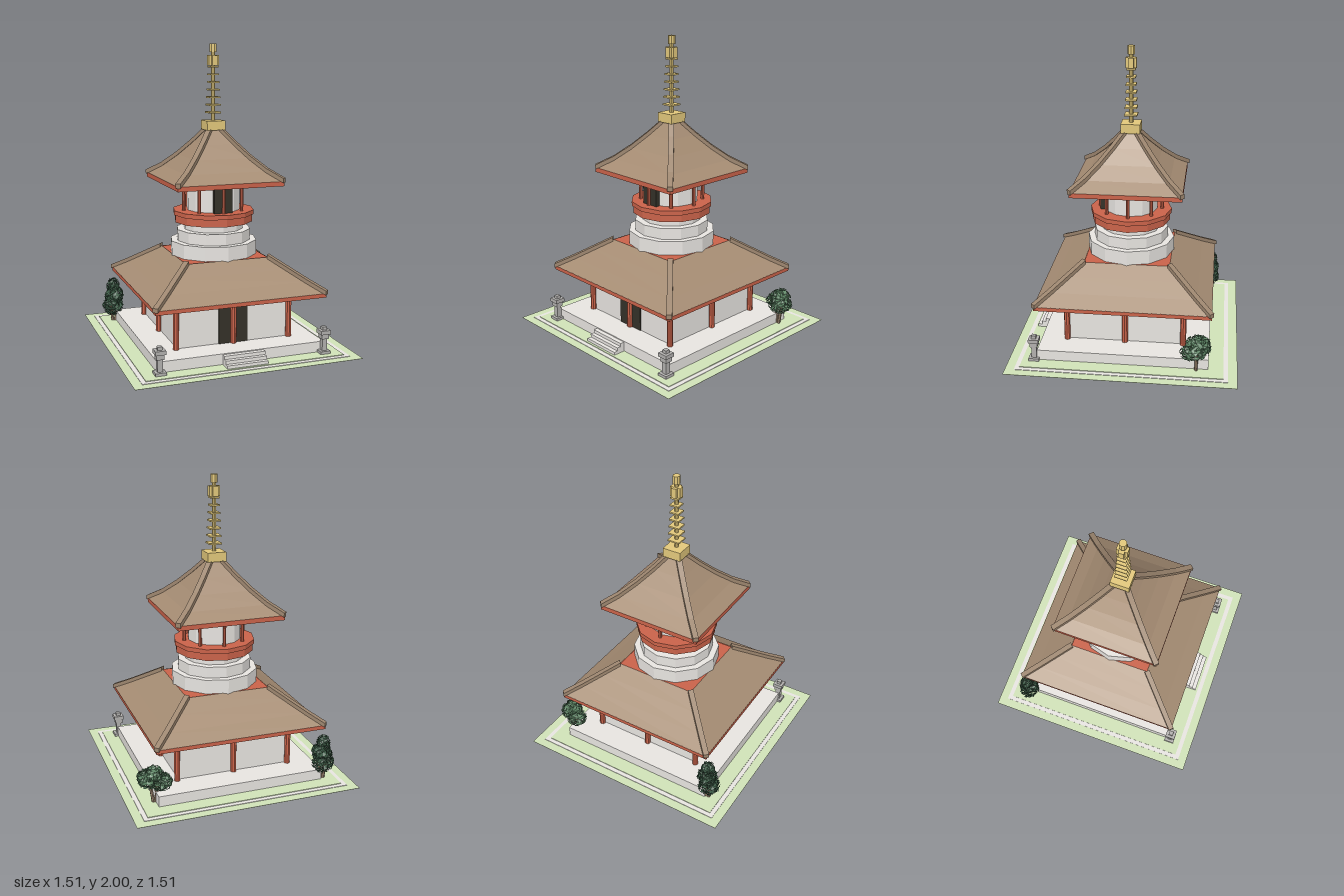
import * as THREE from 'three';

const flat = (name, color) => new THREE.MeshStandardMaterial({ name, color });

export function createModel() {
  const model = new THREE.Group();
  model.name = 'pagoda';

  const grass = flat('grass', 0xd0e2b8);
  const plaster = flat('pale stone', 0xebe8e4);
  const red = flat('red timber', 0xca634a);
  const roofTile = flat('roof brown', 0xa58c73);
  const ridgeTile = flat('ridge brown', 0x9d866f);
  const dark = flat('dark door', 0x343128);
  const gold = flat('gold', 0xe2c87b);
  const lanternStone = flat('lantern stone', 0xb2b0ae);
  const leafDark = flat('dark leaf', 0x40604a);
  const leafMid = flat('mid leaf', 0x5b8262);
  for (const open of [roofTile, leafDark, leafMid]) open.side = THREE.DoubleSide;

  const add = (name, geo, mat, x = 0, y = 0, z = 0, parent = model) => {
    const mesh = new THREE.Mesh(geo, mat);
    mesh.name = name;
    mesh.position.set(x, y, z);
    parent.add(mesh);
    return mesh;
  };
  // box given by its bottom and top heights
  const box = (name, mat, w, d, y0, y1, x = 0, z = 0, parent = model) =>
    add(name, new THREE.BoxGeometry(w, y1 - y0, d), mat, x, (y0 + y1) / 2, z, parent);
  // faceted cylinder given by its bottom and top heights
  const drum = (name, mat, r, y0, y1, x = 0, z = 0, sides = 12, parent = model) => {
    const geo = new THREE.CylinderGeometry(r, r, y1 - y0, sides).toNonIndexed();
    geo.computeVertexNormals();
    return add(name, geo, mat, x, (y0 + y1) / 2, z, parent);
  };

  // Ground with a stone border
  box('lawn', grass, 1.506, 1.506, 0.001, 0.003);
  box('stoneBorder', plaster, 1.386, 1.386, 0, 0.006);
  box('innerLawn', grass, 1.326, 1.326, 0.002, 0.01);

  // Platform and front steps
  box('platform', plaster, 1.128, 1.128, 0.005, 0.08);
  for (let i = 0; i < 3; i++) {
    const front = 0.648 - i * 0.027;
    box('step', plaster, 0.276, front - 0.54, 0.005, 0.03 + i * 0.022, 0, (front + 0.54) / 2);
  }

  // Lower hall
  box('lowerWalls', plaster, 0.76, 0.76, 0.08, 0.385);
  box('lowerDoor', dark, 0.2, 0.008, 0.08, 0.325, 0, 0.383);
  for (let i = -1; i <= 1; i++) {
    for (let j = -1; j <= 1; j++) {
      if (i || j) drum('lowerColumn', red, 0.02, 0.08, 0.39, i * 0.39, j * 0.39, 8);
    }
  }

  // Four-sided curved roof with hip ridges; profile is [half width, height]
  const hipRoof = (name, profile, rise) => {
    const roof = new THREE.Group();
    roof.name = name;
    model.add(roof);
    const pts = profile.map(([r, y]) => new THREE.Vector2(r * Math.SQRT2, y));
    const geo = new THREE.LatheGeometry(pts, 4).toNonIndexed();
    geo.rotateY(Math.PI / 4);
    geo.computeVertexNormals();
    add('roofSlopes', geo, roofTile, 0, 0, 0, roof);

    const outline = [
      ...pts.map((p) => new THREE.Vector2(p.x, p.y - 0.008)),
      ...pts.map((p) => new THREE.Vector2(p.x, p.y + rise)).reverse(),
    ];
    const ridge = new THREE.ExtrudeGeometry(new THREE.Shape(outline), { depth: 0.036, bevelEnabled: false });
    ridge.translate(0, 0, -0.018);
    for (let k = 0; k < 4; k++) {
      add('hipRidge', ridge, ridgeTile, 0, 0, 0, roof).rotation.y = Math.PI / 4 + k * Math.PI / 2;
    }
  };

  // Lower roof
  box('lowerEaves', red, 1.15, 1.15, 0.377, 0.404);
  hipRoof('lowerRoof', [[0.576, 0.403], [0.48, 0.465], [0.38, 0.535], [0.285, 0.602]], 0.02);
  box('lowerRoofDeck', red, 0.57, 0.57, 0.585, 0.6);

  // Stepped white drums
  drum('lowerDrum', plaster, 0.295, 0.595, 0.695);
  drum('middleDrum', plaster, 0.252, 0.695, 0.77);
  drum('upperDrum', plaster, 0.202, 0.77, 0.83);

  // Balcony
  drum('balconyBase', red, 0.266, 0.82, 0.87);
  drum('balconyRim', red, 0.276, 0.87, 0.9);

  // Upper chamber
  drum('upperWalls', plaster, 0.18, 0.9, 1.1);
  box('upperDoor', dark, 0.124, 0.03, 0.9, 1.07, 0, 0.187);
  for (let k = 0; k < 8; k++) {
    const a = k * Math.PI / 4;
    drum('upperColumn', red, 0.012, 0.9, 1.1, 0.21 * Math.sin(a), 0.21 * Math.cos(a), 8);
  }

  // Upper roof
  box('upperEaves', red, 0.724, 0.724, 1.086, 1.117);
  hipRoof('upperRoof',
    [[0.362, 1.116], [0.275, 1.176], [0.19, 1.256], [0.11, 1.346], [0.035, 1.44]], 0.022);

  // Golden spire with square rings
  const spire = new THREE.Group();
  spire.name = 'spire';
  model.add(spire);
  box('spireBase', gold, 0.128, 0.128, 1.435, 1.497, 0, 0, spire);
  drum('spirePole', gold, 0.014, 1.49, 1.96, 0, 0, 8, spire);
  for (let i = 0; i < 7; i++) {
    const y = 1.55 + i * 0.05;
    const w = 0.084 - i * 0.0045;
    box('spireRing', gold, w, w, y - 0.005, y + 0.005, 0, 0, spire);
  }
  box('spireFin', gold, 0.072, 0.036, 1.858, 1.925, 0, 0, spire);
  box('spireFin', gold, 0.036, 0.072, 1.859, 1.924, 0, 0, spire);
  drum('spireTip', gold, 0.024, 1.945, 2.0, 0, 0, 8, spire);

  // Stone lanterns at the front corners
  for (const side of [-1, 1]) {
    const lantern = new THREE.Group();
    lantern.name = 'lantern';
    lantern.position.set(side * 0.555, 0, 0.583);
    model.add(lantern);
    box('lanternBase', lanternStone, 0.07, 0.07, 0.005, 0.028, 0, 0, lantern);
    box('lanternPost', lanternStone, 0.034, 0.034, 0.028, 0.11, 0, 0, lantern);
    box('lanternBox', lanternStone, 0.05, 0.05, 0.108, 0.14, 0, 0, lantern);
    box('lanternCap', lanternStone, 0.068, 0.068, 0.14, 0.166, 0, 0, lantern);
    box('lanternFinial', lanternStone, 0.03, 0.03, 0.166, 0.187, 0, 0, lantern);
  }

  // Ragged foliage clump: every leaf facet's corners are pushed in or out on their own
  const clump = (rx, ry, rz, seed) => {
    const geo = new THREE.IcosahedronGeometry(1, 2);
    const p = geo.attributes.position;
    for (let i = 0; i < p.count; i++) {
      const h = Math.sin(i * 12.99 + seed) * 437.58;
      const s = 0.74 + 0.34 * (h - Math.floor(h));
      p.setXYZ(i, p.getX(i) * rx * s, p.getY(i) * ry * s, p.getZ(i) * rz * s);
    }
    geo.computeVertexNormals();
    return geo;
  };
  const tree = (name, x, z, leaf, trunkTop, clumps) => {
    const group = new THREE.Group();
    group.name = name;
    group.position.set(x, 0, z);
    model.add(group);
    for (const lean of [-0.12, 0.15]) {
      drum('trunk', ridgeTile, 0.011, 0, trunkTop, lean * 0.12, 0, 6, group).rotation.z = -lean;
    }
    clumps.forEach(([cx, cy, cz, rx, ry, rz], i) =>
      add('foliage', clump(rx, ry, rz, i * 2.7), leaf, cx, cy, cz, group));
  };
  tree('tallTree', -0.578, -0.545, leafDark, 0.12, [
    [-0.005, 0.125, 0, 0.075, 0.075, 0.072],
    [0.005, 0.195, 0, 0.068, 0.075, 0.068],
    [0.0, 0.265, -0.005, 0.048, 0.06, 0.05],
  ]);
  tree('broadTree', 0.57, -0.485, leafMid, 0.14, [
    [-0.04, 0.155, -0.025, 0.072, 0.06, 0.07],
    [0.04, 0.165, 0.02, 0.066, 0.06, 0.088],
    [0.005, 0.2, -0.01, 0.066, 0.06, 0.082],
  ]);

  return model;
}
